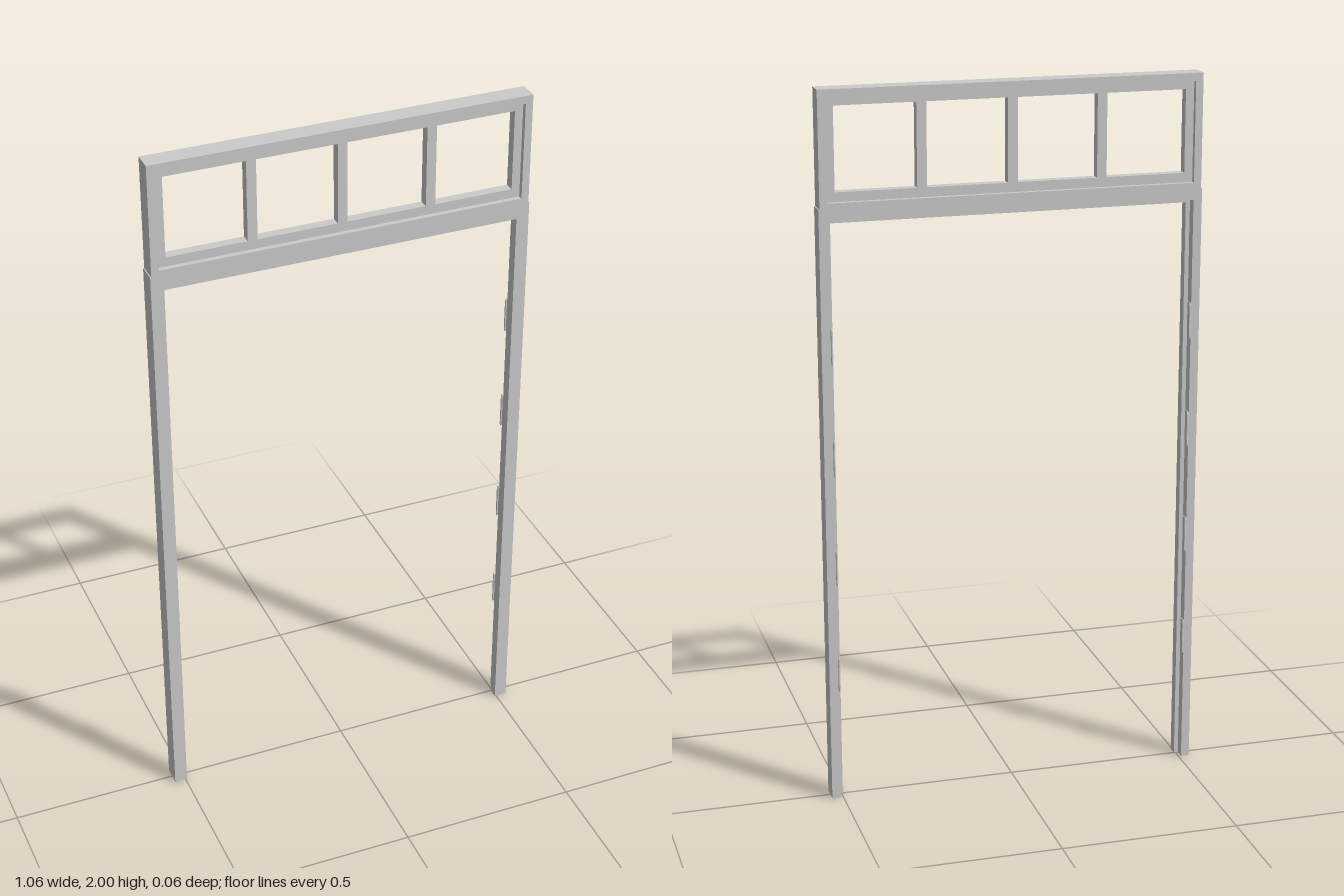
import * as THREE from 'three';

const material = new THREE.MeshStandardMaterial({ color: 0xcccccc, flatShading: true });

function add(group, geometry, name, x = 0, y = 0, z = 0) {
  const mesh = new THREE.Mesh(geometry, material);
  mesh.name = name;
  mesh.position.set(x, y, z);
  group.add(mesh);
  return mesh;
}

function rectPoints(x0, y0, x1, y1) {
  return [[x0, y0], [x1, y0], [x1, y1], [x0, y1]].map(([x, y]) => new THREE.Vector2(x, y));
}

// Flat outline extruded between two depths
function slab(shape, z0, z1) {
  return new THREE.ExtrudeGeometry(shape, { depth: z1 - z0, bevelEnabled: false }).translate(0, 0, z0);
}

// Upside-down U: two jambs joined by a head
function portal(halfOuter, top, halfInner, head) {
  return new THREE.Shape([
    [-halfOuter, 0], [-halfInner, 0], [-halfInner, head], [halfInner, head],
    [halfInner, 0], [halfOuter, 0], [halfOuter, top], [-halfOuter, top],
  ].map(([x, y]) => new THREE.Vector2(x, y)));
}

export function createModel() {
  const model = new THREE.Group();
  model.name = 'doorFrame';

  // Door lining: the front half projects inwards as a stop, the back half is rebated
  const D = 0.028;
  add(model, slab(portal(0.532, 1.685, 0.496, 1.642), 0, D), 'frameWithStop');
  add(model, slab(portal(0.532, 1.685, 0.508, 1.654), -D, 0), 'rebatedFrame');

  // Transom surround above the head
  const surround = new THREE.Shape(rectPoints(-0.529, 1.685, 0.529, 2));
  surround.holes.push(new THREE.Path(rectPoints(-0.508, 1.701, 0.508, 1.978)));
  add(model, slab(surround, -D, D), 'transomSurround');

  // Recessed sash with four openings
  const sash = new THREE.Shape(rectPoints(-0.508, 1.701, 0.508, 1.978));
  const pane = 0.222, pitch = 0.249;
  for (let i = 0; i < 4; i++) {
    const cx = (i - 1.5) * pitch;
    sash.holes.push(new THREE.Path(rectPoints(cx - pane / 2, 1.727, cx + pane / 2, 1.955)));
  }
  add(model, slab(sash, -0.014, 0.014), 'transomSash');

  // Four hinges on each jamb: a leaf in the rebate and a knuckle at the back edge
  const leaf = new THREE.BoxGeometry(0.002, 0.1, 0.024);
  const knuckle = new THREE.CylinderGeometry(0.003, 0.003, 0.09, 10);
  const tip = new THREE.ConeGeometry(0.003, 0.01, 10);
  for (const side of [-1, 1]) {
    for (let i = 0; i < 4; i++) {
      const hinge = new THREE.Group();
      hinge.name = 'hinge';
      hinge.position.set(side * 0.507, 0.375 + i * 0.313, 0);
      add(hinge, leaf, 'hingeLeaf', 0, 0, -0.016);
      add(hinge, knuckle, 'hingeKnuckle', -side * 0.003, 0, -0.028);
      add(hinge, tip, 'hingeTip', -side * 0.003, 0.05, -0.028);
      add(hinge, tip, 'hingeTip', -side * 0.003, -0.05, -0.028).rotation.x = Math.PI;
      model.add(hinge);
    }
  }
  return model;
}
